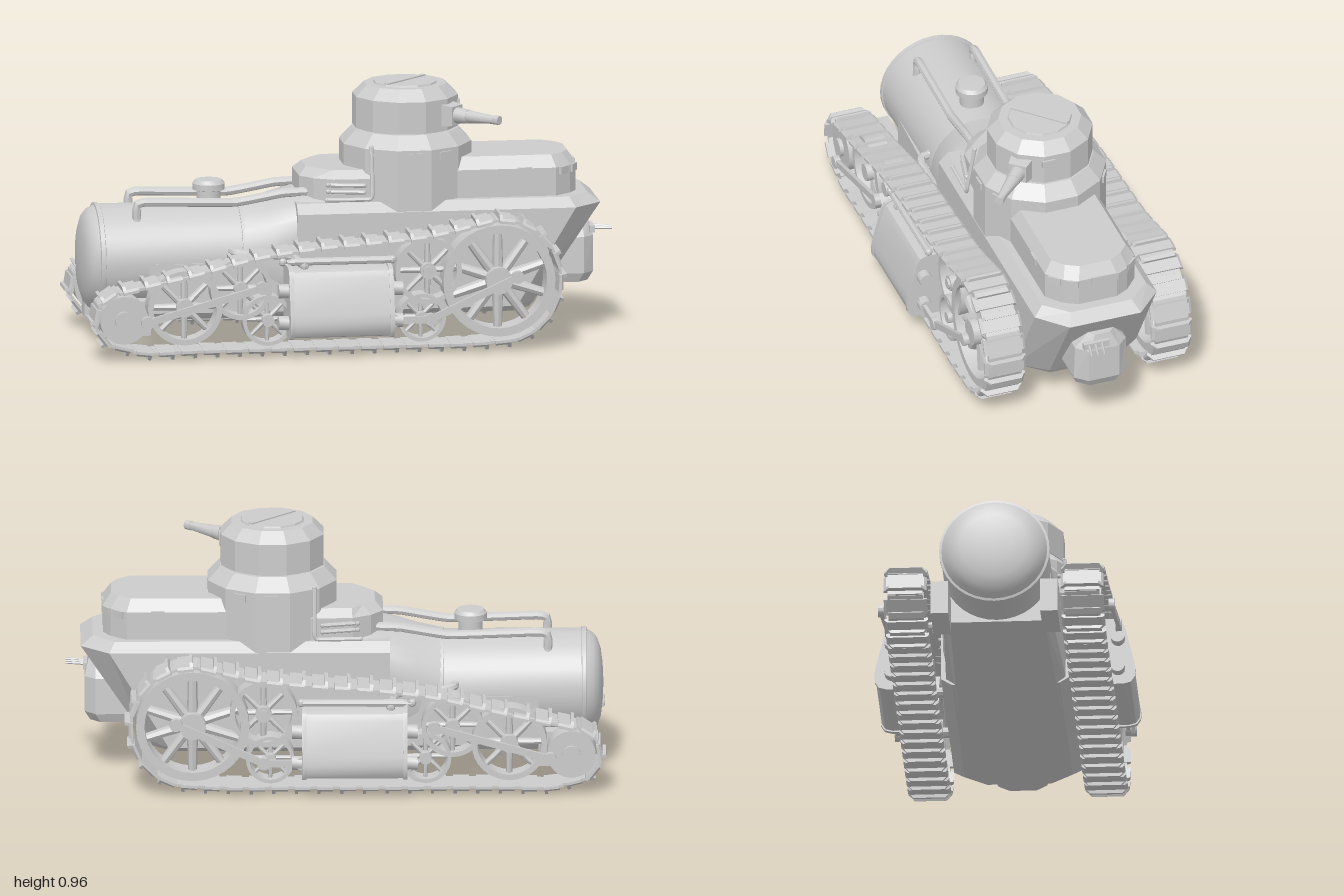
import * as THREE from 'three';
import { mergeGeometries, toCreasedNormals } from 'three/addons/utils/BufferGeometryUtils.js';

const V = (x, y, z = 0) => new THREE.Vector3(x, y, z);
const smooth = new THREE.MeshStandardMaterial({ color: 0xcccccc });
const flat = new THREE.MeshStandardMaterial({ color: 0xcccccc, flatShading: true });

function add(parent, name, geo, pos = [0, 0, 0], round = false) {
  const mesh = new THREE.Mesh(round ? toCreasedNormals(geo, 0.6) : geo, round ? smooth : flat);
  mesh.name = name;
  mesh.position.set(...pos);
  parent.add(mesh);
  return mesh;
}

// Skin a list of equal-length rings and cap both ends
function loft(rings) {
  const n = rings[0].length, pos = rings.flat().flatMap(p => [p.x, p.y, p.z]), index = [];
  for (let r = 0; r < rings.length - 1; r++)
    for (let i = 0; i < n; i++) {
      const a = r * n + i, b = r * n + (i + 1) % n;
      index.push(a, b, b + n, a, b + n, a + n);
    }
  const last = (rings.length - 1) * n;
  for (let i = 1; i < n - 1; i++) index.push(0, i + 1, i, last, last + i, last + i + 1);
  const geo = new THREE.BufferGeometry();
  geo.setAttribute('position', new THREE.Float32BufferAttribute(pos, 3));
  geo.setIndex(index);
  geo.computeVertexNormals();
  return geo;
}

// Horizontal ring from a half outline [x, z] running front to back
const plan = (y, half) => [...half.map(([x, z]) => V(x, y, -z)), ...half.slice().reverse().map(([x, z]) => V(x, y, z))];

// Upright ring across the length: a circle that can grow square
function section(x, cy, hw, hh, power) {
  const f = v => Math.sign(v) * Math.abs(v) ** (2 / power);
  return Array.from({ length: 32 }, (_, i) => {
    const a = i / 32 * Math.PI * 2;
    return V(x, cy + hh * f(Math.cos(a)), hw * f(Math.sin(a)));
  });
}

function tube(parent, name, pts, r) {
  const curve = new THREE.CatmullRomCurve3(pts.map(p => V(...p)), false, 'catmullrom', 0.15);
  add(parent, name, new THREE.TubeGeometry(curve, pts.length * 6, r, 8), [0, 0, 0], true);
  for (const p of [pts[0], pts[pts.length - 1]]) add(parent, name + 'End', new THREE.SphereGeometry(r * 1.1, 8, 6), p, true);
}

const disc = (r, h, sides = 24) => new THREE.CylinderGeometry(r, r, h, sides).rotateX(Math.PI / 2);

function spokedWheel(parent, name, x, y, z, r, spokes, width) {
  const wheel = new THREE.Group();
  wheel.name = name;
  wheel.position.set(x, y, z);
  const t = r * 0.15, w = width / 2;
  const profile = [[r - t, -w], [r, -w], [r, w], [r - t, w], [r - t, -w]].map(p => new THREE.Vector2(...p));
  add(wheel, 'rim', new THREE.LatheGeometry(profile, 32).rotateX(Math.PI / 2), [0, 0, 0], true);
  add(wheel, 'hub', disc(r * 0.24, width * 1.1, 16), [0, 0, 0], true);
  for (let i = 0; i < spokes; i++) {
    const a = i / spokes * Math.PI * 2, len = r * 0.72;
    const spoke = new THREE.CylinderGeometry(r * 0.08, r * 0.1, len, 8);
    spoke.translate(0, r * 0.16 + len / 2, 0).scale(1, 1, 1.4);
    add(wheel, 'spoke', spoke, [0, 0, 0], true).rotation.z = a;
  }
  parent.add(wheel);
}

function rod(parent, name, a, b, z) {
  const [dx, dy] = [b[0] - a[0], b[1] - a[1]];
  const bar = add(parent, name, new THREE.BoxGeometry(Math.hypot(dx, dy), 0.026, 0.014), [(a[0] + b[0]) / 2, (a[1] + b[1]) / 2, z]);
  bar.rotation.z = Math.atan2(dy, dx);
  for (const p of [a, b]) add(parent, name + 'Bearing', disc(0.024, 0.022, 16), [...p, z], true);
}

function trackBelt(parent, s) {
  const pts = [], arc = (cx, cy, r, a0, a1, n) => {
    for (let i = 0; i <= n; i++) {
      const a = THREE.MathUtils.degToRad(a0 + (a1 - a0) * i / n);
      pts.push(V(cx + r * Math.cos(a), cy + r * Math.sin(a)));
    }
  };
  arc(-0.87, 0.147, 0.102, 265, 100, 9);
  pts.push(V(-0.62, 0.305), V(-0.36, 0.367), V(-0.15, 0.395), V(0.05, 0.41), V(0.28, 0.432));
  arc(0.533, 0.258, 0.226, 108, -90, 14);
  for (let x = 0.4; x > -0.85; x -= 0.2) pts.push(V(x, 0.025));
  const path = new THREE.CatmullRomCurve3(pts, true);
  path.arcLengthDivisions = 800;
  const count = 46, pitch = path.getLength() / count, links = [];
  const pad = new THREE.Shape([[-0.08, -0.006], [0.08, -0.006], [0.08, 0.004], [0.07, 0.012], [-0.07, 0.012], [-0.08, 0.004]].map(p => new THREE.Vector2(...p)));
  const ridge = new THREE.Shape([[-0.074, 0.008], [0.074, 0.008], [0.06, 0.025], [-0.06, 0.025]].map(p => new THREE.Vector2(...p)));
  const bar = (shape, depth, x) => new THREE.ExtrudeGeometry(shape, { depth, bevelEnabled: false }).rotateY(Math.PI / 2).translate(x, 0, 0);
  for (let i = 0; i < count; i++) {
    const p = path.getPointAt(i / count), t = path.getTangentAt(i / count);
    const plate = new THREE.BoxGeometry(pitch * 1.04, 0.01, 0.13).toNonIndexed();
    for (const g of [plate, bar(pad, 0.058, -0.029), bar(ridge, 0.012, -0.029)])
      links.push(g.rotateZ(Math.atan2(t.y, t.x)).translate(p.x, p.y, s * 0.328));
  }
  add(parent, 'trackLinks', mergeGeometries(links));
}

// Everything repeated on the left and right
function runningGear(s) {
  const g = new THREE.Group();
  g.name = s > 0 ? 'leftRunningGear' : 'rightRunningGear';
  const z = s * 0.33;
  trackBelt(g, s);
  spokedWheel(g, 'driveWheel', 0.533, 0.258, z, 0.21, 10, 0.1);
  add(g, 'idlerWheel', disc(0.09, 0.1), [-0.87, 0.147, z], true);
  add(g, 'idlerHub', disc(0.035, 0.13, 16), [-0.87, 0.147, z], true);
  for (const [x, y, r, n] of [[-0.64, 0.185, 0.14, 8], [-0.43, 0.25, 0.115, 8], [-0.33, 0.13, 0.095, 8], [0.27, 0.3, 0.125, 8], [0.245, 0.125, 0.09, 8]])
    spokedWheel(g, 'roadWheel', x, y, z, r, n, 0.075);
  for (const [x, y] of [[0.533, 0.258], [0.27, 0.3]])
    add(g, 'axle', disc(0.02, 0.2, 10), [x, y, s * 0.28], true);

  // Drive casing hung on the outside of the track
  const casing = (grow, x, depth, name) => {
    const outline = [[0.29, 0.07], [0.44, 0.07], [0.468, 0.078], [0.482, 0.1], [0.485, 0.13], [0.478, 0.165], [0.446, 0.3], [0.432, 0.325], [0.41, 0.335], [0.29, 0.335]];
    const shape = new THREE.Shape(outline.map(([pz, py]) => new THREE.Vector2(-s * (0.39 + (pz - 0.39) * grow), 0.2 + (py - 0.2) * grow)));
    const geo = new THREE.ExtrudeGeometry(shape, { depth, bevelEnabled: false }).rotateY(Math.PI / 2);
    add(g, name, geo, [x, 0, 0], true);
  };
  casing(0.96, -0.255, 0.375, 'driveCasing');
  for (const x of [-0.262, 0.112]) casing(1, x, 0.016, 'casingFlange');
  for (const [x, y] of [[-0.28, 0.25], [-0.28, 0.13], [0.145, 0.13], [0.145, 0.25]])
    add(g, 'casingPort', new THREE.CylinderGeometry(0.026, 0.026, 0.04, 14).rotateZ(Math.PI / 2), [x, y, s * 0.42], true);
  tube(g, 'casingPipe', [[-0.28, 0.355, s * 0.4], [0.13, 0.355, s * 0.4]], 0.014);
  tube(g, 'supplyPipe', [[-0.44, 0.36, s * 0.19], [-0.43, 0.36, s * 0.225], [-0.39, 0.355, s * 0.235], [-0.27, 0.35, s * 0.235], [-0.22, 0.345, s * 0.26], [-0.2, 0.34, s * 0.4]], 0.016);
  rod(g, 'rearRod', [-0.79, 0.145], [-0.36, 0.265], s * 0.428);
  rod(g, 'frontRod', [0.27, 0.13], [0.595, 0.28], s * 0.428);
  rod(g, 'pistonRod', [0.13, 0.13], [0.27, 0.13], s * 0.428);
  add(g, 'idlerBracket', new THREE.BoxGeometry(0.19, 0.13, 0.065), [-0.845, 0.125, s * 0.203]);

  // Pipes along the rear tank and up the casemate
  tube(g, 'tankPipe', [[-0.785, 0.47, s * 0.11], [-0.785, 0.53, s * 0.11], [-0.75, 0.54, s * 0.11], [-0.42, 0.53, s * 0.11], [-0.24, 0.56, s * 0.11], [-0.1, 0.565, s * 0.11]], 0.017);
  tube(g, 'wallPipe', [[-0.09, 0.55, s * 0.225], [0.07, 0.55, s * 0.23], [0.08, 0.57, s * 0.23], [0.08, 0.74, s * 0.2]], 0.008);
  for (const y of [0.575, 0.6]) tube(g, 'wallPipe', [[-0.08, y, s * 0.19], [0.05, y, s * 0.22]], 0.008);
  return g;
}

export function createModel() {
  const model = new THREE.Group();
  model.name = 'trackedVehicle';
  model.add(runningGear(1), runningGear(-1));

  // Hull with a tapered prow, and the flat belly running back under the tank
  add(model, 'hull', loft([
    plan(0.11, [[0.68, 0.12], [0.61, 0.2], [-0.2, 0.2]]),
    plan(0.135, [[0.7, 0.13], [0.62, 0.24], [-0.2, 0.24]]),
    plan(0.5, [[0.945, 0.14], [0.84, 0.24], [-0.2, 0.24]]),
    plan(0.535, [[0.9, 0.12], [0.82, 0.205], [-0.2, 0.205]]),
  ]));
  add(model, 'belly', loft([
    plan(0.108, [[0, 0.19], [-0.75, 0.175]]),
    plan(0.135, [[0, 0.23], [-0.35, 0.225], [-0.75, 0.2]].filter((_, i) => i !== 1)),
    plan(0.32, [[0, 0.23], [-0.75, 0.2]]),
  ]));
  add(model, 'hullShoulder', loft([section(-0.4, 0.315, 0.202, 0.203, 2), section(-0.3, 0.32, 0.222, 0.21, 2.5),
    section(-0.18, 0.333, 0.238, 0.222, 3.5), section(0.06, 0.338, 0.24, 0.226, 4)]), [0, 0, 0], true);

  // Rear tank: domed end, raised bands and filler cap
  const tank = [[0, 0.992], [0.07, 0.989], [0.125, 0.982], [0.162, 0.97], [0.183, 0.953], [0.196, 0.93], [0.205, 0.928], [0.205, 0.912], [0.2, 0.91], [0.2, 0.4], [0.206, 0.398], [0.206, 0.375], [0, 0.375]];
  add(model, 'rearTank', new THREE.LatheGeometry(tank.reverse().map(p => new THREE.Vector2(...p)), 36).rotateZ(Math.PI / 2), [0, 0.315, 0], true);
  const cap = [[0.045, 0.5], [0.045, 0.558], [0.06, 0.562], [0.06, 0.585], [0.05, 0.598], [0, 0.6]].map(p => new THREE.Vector2(...p));
  add(model, 'fillerCap', new THREE.LatheGeometry(cap, 20), [-0.5, 0, 0], true);

  // Casemate, its rear step and the driver's cabin
  const back = (i) => [[0.25, 0.2 - i], [-0.06, 0.19 - i], [-0.13 + i, 0.15 - i], [-0.175 + i, 0.09 - i]];
  add(model, 'rearStep', loft([plan(0.5, back(0)), plan(0.62, back(0)), plan(0.65, back(0.03))]));
  const cabin = (i) => [[0.862 - i, 0.075 - i / 2], [0.835 - i, 0.125 - i / 2], [0.775 - i / 2, 0.177 - i], [0.3, 0.177 - i]];
  add(model, 'cabin', loft([plan(0.52, cabin(0)), plan(0.64, cabin(0)), plan(0.685, cabin(0.03))]));
  const turn = Math.PI / 12;
  const drum = (name, top, bottom, y0, y1, sides = 12) =>
    add(model, name, new THREE.CylinderGeometry(top, bottom, y1 - y0, sides, 1, false, turn), [0.235, (y0 + y1) / 2, 0]);
  drum('casemate', 0.247, 0.247, 0.5, 0.73);
  drum('casemateRoof', 0.2, 0.247, 0.73, 0.78);

  // Turret and hatch
  drum('turretRing', 0.18, 0.18, 0.775, 0.79, 24);
  drum('turret', 0.197, 0.197, 0.785, 0.903);
  drum('turretRoof', 0.155, 0.197, 0.903, 0.945);
  drum('hatch', 0.117, 0.122, 0.94, 0.952);
  add(model, 'hatchBar', new THREE.BoxGeometry(0.23, 0.01, 0.018), [0.235, 0.952, 0]).rotation.y = Math.PI / 4;

  // Gun turned toward the front left
  const gun = new THREE.Group();
  gun.name = 'gun';
  gun.position.set(0.235, 0.843, 0);
  gun.rotation.y = -0.72;
  add(gun, 'mantlet', new THREE.CylinderGeometry(0.05, 0.062, 0.06, 4, 1, false, Math.PI / 4).rotateZ(-Math.PI / 2), [0.2, 0, 0]);
  add(gun, 'gunSleeve', new THREE.CylinderGeometry(0.026, 0.031, 0.06, 14).rotateZ(-Math.PI / 2), [0.25, 0, 0], true);
  add(gun, 'barrel', new THREE.CylinderGeometry(0.014, 0.025, 0.13, 14).rotateZ(-Math.PI / 2), [0.34, 0, 0], true);
  add(gun, 'muzzle', new THREE.CylinderGeometry(0.017, 0.017, 0.025, 14).rotateZ(-Math.PI / 2), [0.405, 0, 0], true);
  model.add(gun);

  // Vision slits: x, y, z, heading
  const slits = [[0.86, 0.63, 0, 0], [0.24, 0.705, 0.239, Math.PI / 2], [0.24, 0.705, -0.239, Math.PI / 2], [0.425, 0.872, 0.035, 0]];
  for (const s of [1, -1])
    slits.push([0.849, 0.626, s * 0.098, -s * 0.5], [0.806, 0.626, s * 0.15, -s * 0.72], [0.66, 0.63, s * 0.176, Math.PI / 2], [0.355, 0.705, s * 0.207, -s * Math.PI / 3]);
  for (const [x, y, z, a] of slits) add(model, 'visionSlit', new THREE.BoxGeometry(0.014, 0.028, 0.05), [x, y, z]).rotation.y = a;

  // Nose housing with three thin prongs
  add(model, 'noseHousing', loft([
    plan(0.19, [[0.91, 0.05], [0.87, 0.09], [0.68, 0.09]]),
    plan(0.225, [[0.93, 0.06], [0.89, 0.105], [0.68, 0.105]]),
    plan(0.36, [[0.93, 0.06], [0.89, 0.1], [0.68, 0.1]]),
    plan(0.42, [[0.915, 0.03], [0.89, 0.05], [0.68, 0.05]]),
  ]));
  add(model, 'prongPlate', new THREE.BoxGeometry(0.02, 0.025, 0.1), [0.925, 0.385, 0.03]);
  for (const z of [0.015, 0.04, 0.065])
    add(model, 'prong', new THREE.CylinderGeometry(0.004, 0.006, 0.08, 6).rotateZ(-Math.PI / 2), [0.96, 0.387, z], true).rotation.y = -0.2;
  return model;
}
